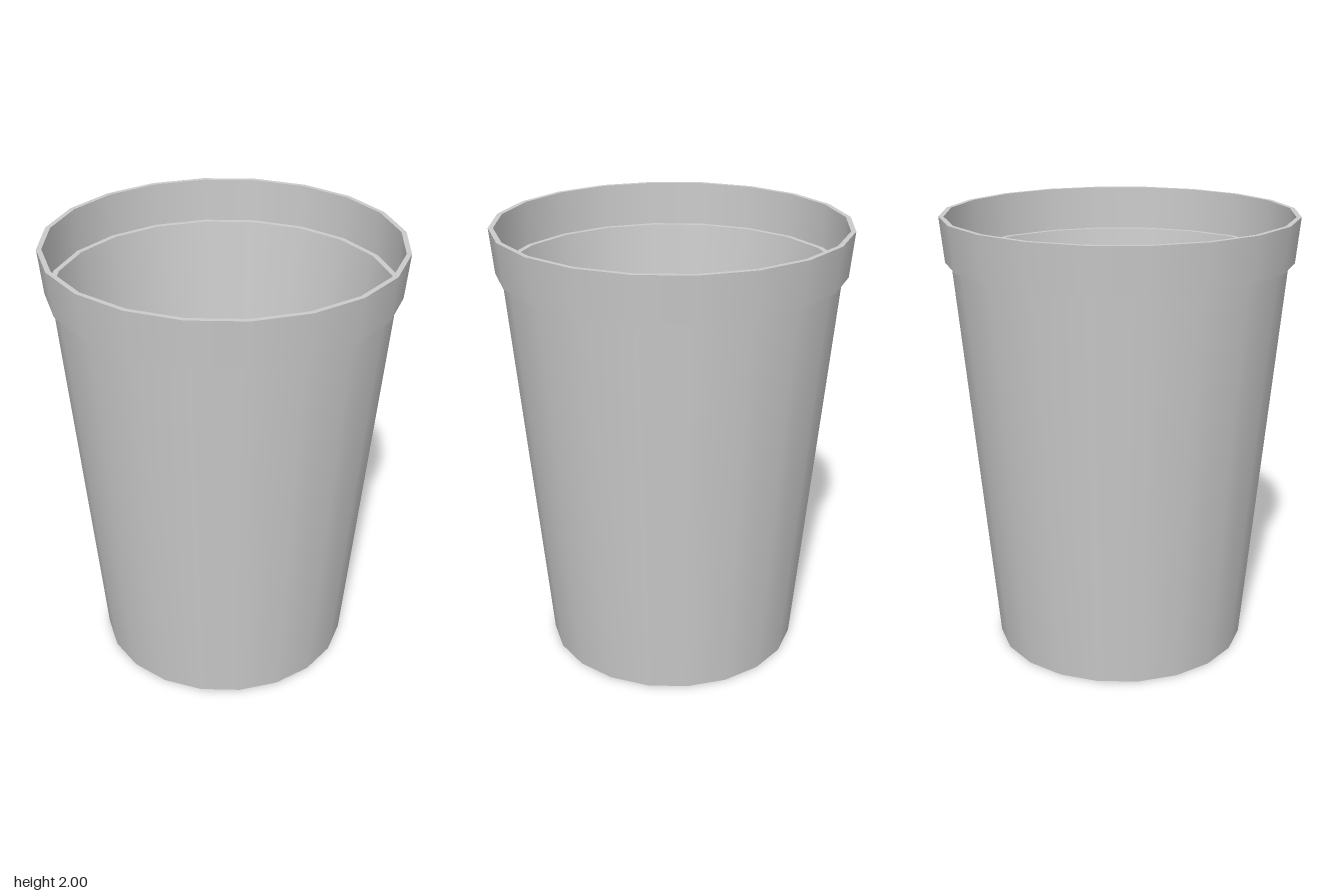
import * as THREE from 'three';
import { mergeGeometries } from 'three/addons/utils/BufferGeometryUtils.js';

const SIDES = 20;
const material = new THREE.MeshStandardMaterial({ color: 0xcccccc });

// Revolves each profile step as its own band: smooth around, sharp between bands.
function turned(name, profile) {
  const bands = [];
  for (let i = 0; i < profile.length - 1; i++) {
    const pair = [profile[i], profile[i + 1]].map(([r, y]) => new THREE.Vector2(r, y));
    bands.push(new THREE.LatheGeometry(pair, SIDES));
  }
  const mesh = new THREE.Mesh(mergeGeometries(bands), material);
  mesh.name = name;
  return mesh;
}

export function createModel() {
  const group = new THREE.Group();
  group.name = 'pot';

  // Underside and tapered outer wall
  group.add(turned('outerWall', [[0, 0], [0.577, 0], [0.742, 1.8]]));

  // Overhanging collar: lower lip, outside, top edge, inside and inner ledge
  group.add(turned('rim', [
    [0.742, 1.8], [0.768, 1.8], [0.788, 2], [0.766, 2], [0.766, 1.8], [0.741, 1.8],
  ]));

  // Inside wall with a small step down to the floor
  group.add(turned('innerWall', [[0.741, 1.8], [0.594, 0.2], [0.576, 0.2], [0.576, 0.02]]));
  group.add(turned('floor', [[0.576, 0.02], [0, 0.02]]));

  return group;
}
